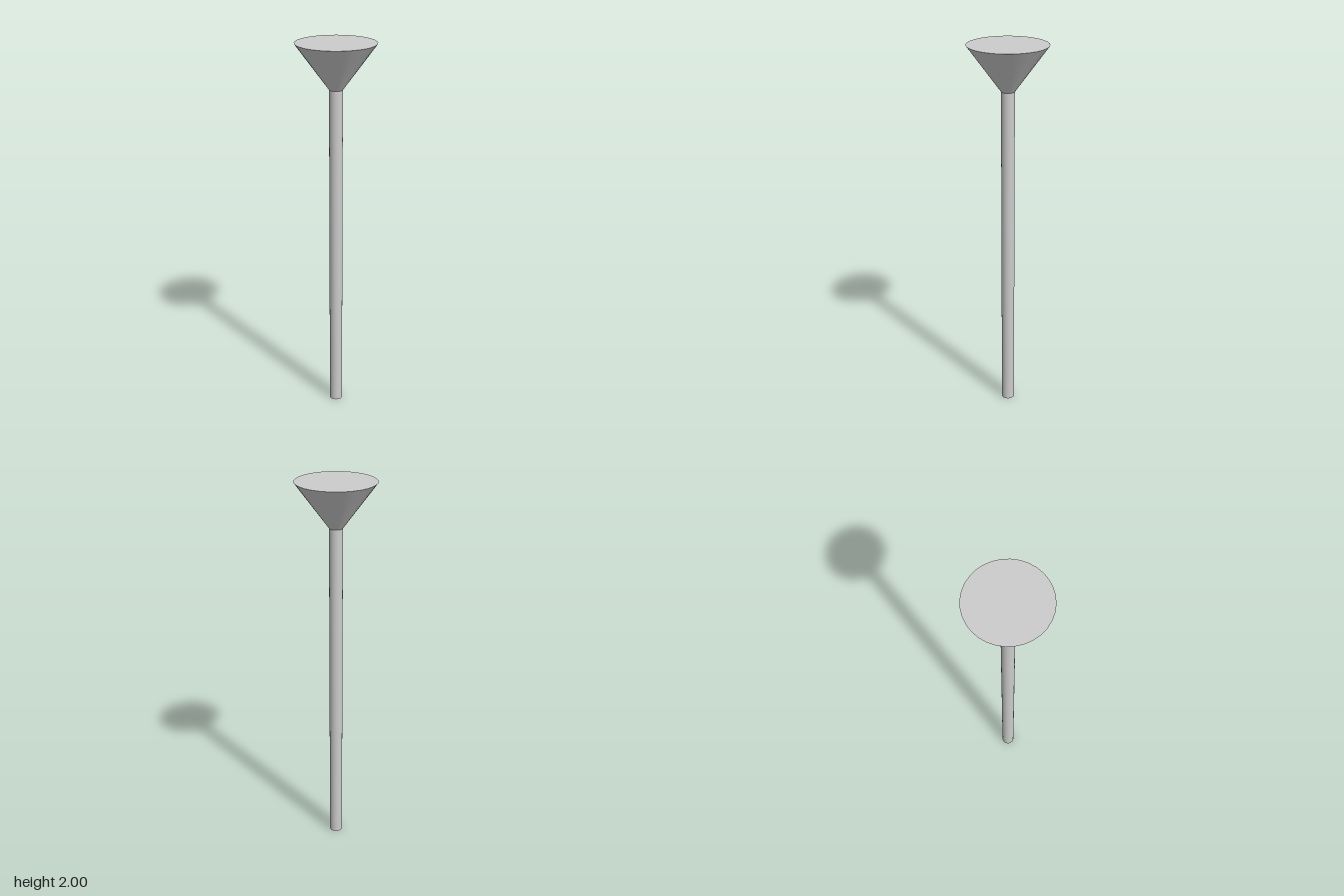
import * as THREE from 'three';

const SIDES = 32;
const SHAFT_RADIUS = 0.034;
const HEAD_RADIUS = 0.203;
const HEAD_BASE = 1.77;
const TOP = 2;

export function createModel() {
  const model = new THREE.Group();
  const material = new THREE.MeshStandardMaterial({ color: 0xcccccc });

  // Capped round section between two heights
  const addSection = (name, topRadius, bottomRadius, y0, y1) => {
    const geometry = new THREE.CylinderGeometry(topRadius, bottomRadius, y1 - y0, SIDES);
    const mesh = new THREE.Mesh(geometry, material);
    mesh.name = name;
    mesh.position.y = (y0 + y1) / 2;
    model.add(mesh);
  };

  // Long straight shaft, then the flat-topped countersunk head
  addSection('shaft', SHAFT_RADIUS, SHAFT_RADIUS, 0, HEAD_BASE);
  addSection('conicalHead', HEAD_RADIUS, SHAFT_RADIUS, HEAD_BASE, TOP);

  return model;
}
